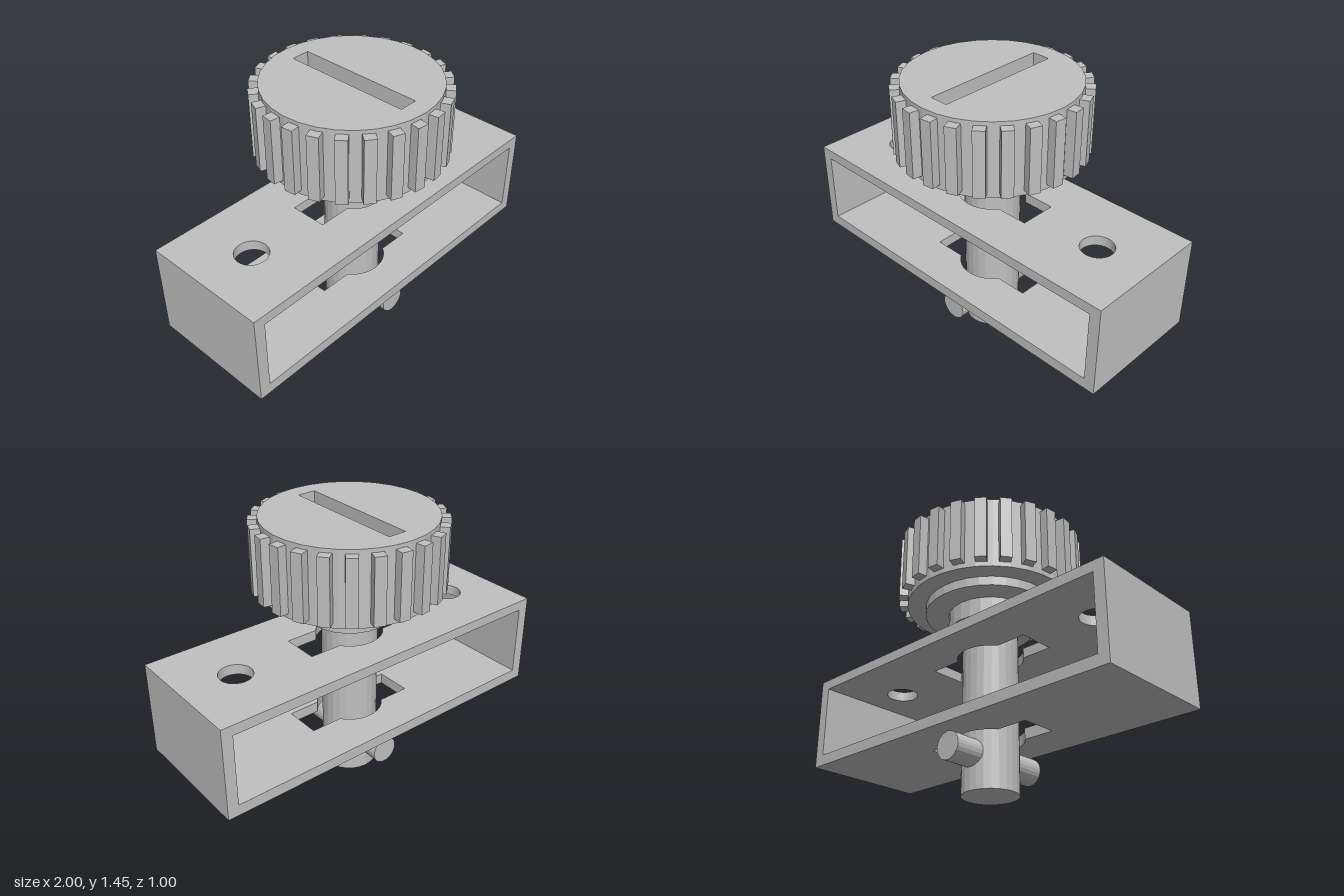
import * as THREE from 'three';

const steel = new THREE.MeshStandardMaterial({ color: 0xc0c0c0 });
steel.name = 'grey metal';

function add(parent, name, geometry, x = 0, y = 0, z = 0) {
  const flat = geometry.index ? geometry.toNonIndexed() : geometry;
  flat.computeVertexNormals(); // faceted look
  const mesh = new THREE.Mesh(flat, steel);
  mesh.name = name;
  mesh.position.set(x, y, z);
  parent.add(mesh);
  return mesh;
}

// Upright cylinder between two heights
function disc(parent, name, radius, y0, y1, sides = 24) {
  return add(parent, name, new THREE.CylinderGeometry(radius, radius, y1 - y0, sides), 0, (y0 + y1) / 2);
}

// Points of a circle or arc
function arc(cx, radius, from, to, steps) {
  return Array.from({ length: steps + 1 }, (_, i) => {
    const a = from + ((to - from) * i) / steps;
    return new THREE.Vector2(cx + radius * Math.cos(a), radius * Math.sin(a));
  });
}

const circle = (cx, radius, sides) => arc(cx, radius, 0, Math.PI * 2, sides).slice(0, -1);

const rectangle = (hx, hz) =>
  [[-hx, -hz], [hx, -hz], [hx, hz], [-hx, hz]].map(([x, z]) => new THREE.Vector2(x, z));

// Round hole with a slot across it, which lets the cross pin through
function keyhole(radius, halfLength, halfWidth) {
  const a = Math.asin(halfWidth / radius);
  return [
    new THREE.Vector2(halfLength, -halfWidth),
    new THREE.Vector2(halfLength, halfWidth),
    ...arc(0, radius, a, Math.PI - a, 12),
    new THREE.Vector2(-halfLength, halfWidth),
    new THREE.Vector2(-halfLength, -halfWidth),
    ...arc(0, radius, Math.PI + a, Math.PI * 2 - a, 12),
  ];
}

// Horizontal plate with holes, between two heights
function plate(parent, name, outline, holes, y0, y1) {
  const shape = new THREE.Shape(outline);
  holes.forEach((points) => shape.holes.push(new THREE.Path(points)));
  const geometry = new THREE.ExtrudeGeometry(shape, { depth: y1 - y0, bevelEnabled: false });
  geometry.rotateX(-Math.PI / 2);
  return add(parent, name, geometry, 0, y0);
}

export function createModel() {
  const model = new THREE.Group();
  model.name = 'quarterTurnFastener';

  // Rectangular frame, open at front and back
  const frame = new THREE.Group();
  frame.name = 'frame';
  model.add(frame);
  const slot = keyhole(0.175, 0.32, 0.1);
  plate(frame, 'bottomPlate', rectangle(1, 0.35), [slot], 0.29, 0.35);
  plate(frame, 'topPlate', rectangle(1, 0.35),
    [slot, circle(-0.7, 0.087, 32), circle(0.7, 0.087, 32)], 0.745, 0.8);
  for (const side of [-1, 1]) {
    add(frame, side > 0 ? 'leftWall' : 'rightWall',
      new THREE.BoxGeometry(0.06, 0.395, 0.7), side * 0.97, 0.5475);
  }

  // Shaft with cross pin and stepped collars
  const screw = new THREE.Group();
  screw.name = 'screw';
  model.add(screw);
  disc(screw, 'shaft', 0.148, 0, 0.9);
  disc(screw, 'lowerCollar', 0.225, 0.9, 1);
  disc(screw, 'upperCollar', 0.35, 1, 1.05, 32);
  const pin = new THREE.CylinderGeometry(0.073, 0.073, 0.6, 24);
  pin.rotateX(Math.PI / 2);
  add(screw, 'crossPin', pin, 0, 0.192);

  // Knob with a screwdriver slot
  const knob = new THREE.Group();
  knob.name = 'knob';
  model.add(knob);
  disc(knob, 'knobBase', 0.45, 1.05, 1.3, 32);
  plate(knob, 'slottedCap', circle(0, 0.45, 32), [rectangle(0.05, 0.35)], 1.3, 1.45);

  // Grip ribs around the knob
  const ribCount = 24;
  for (let i = 0; i < ribCount; i++) {
    const a = ((i + 0.5) / ribCount) * Math.PI * 2;
    const rib = add(knob, 'gripRib', new THREE.BoxGeometry(0.06, 0.352, 0.07),
      Math.sin(a) * 0.463, 1.253, Math.cos(a) * 0.463);
    rib.rotation.y = a;
  }
  return model;
}
